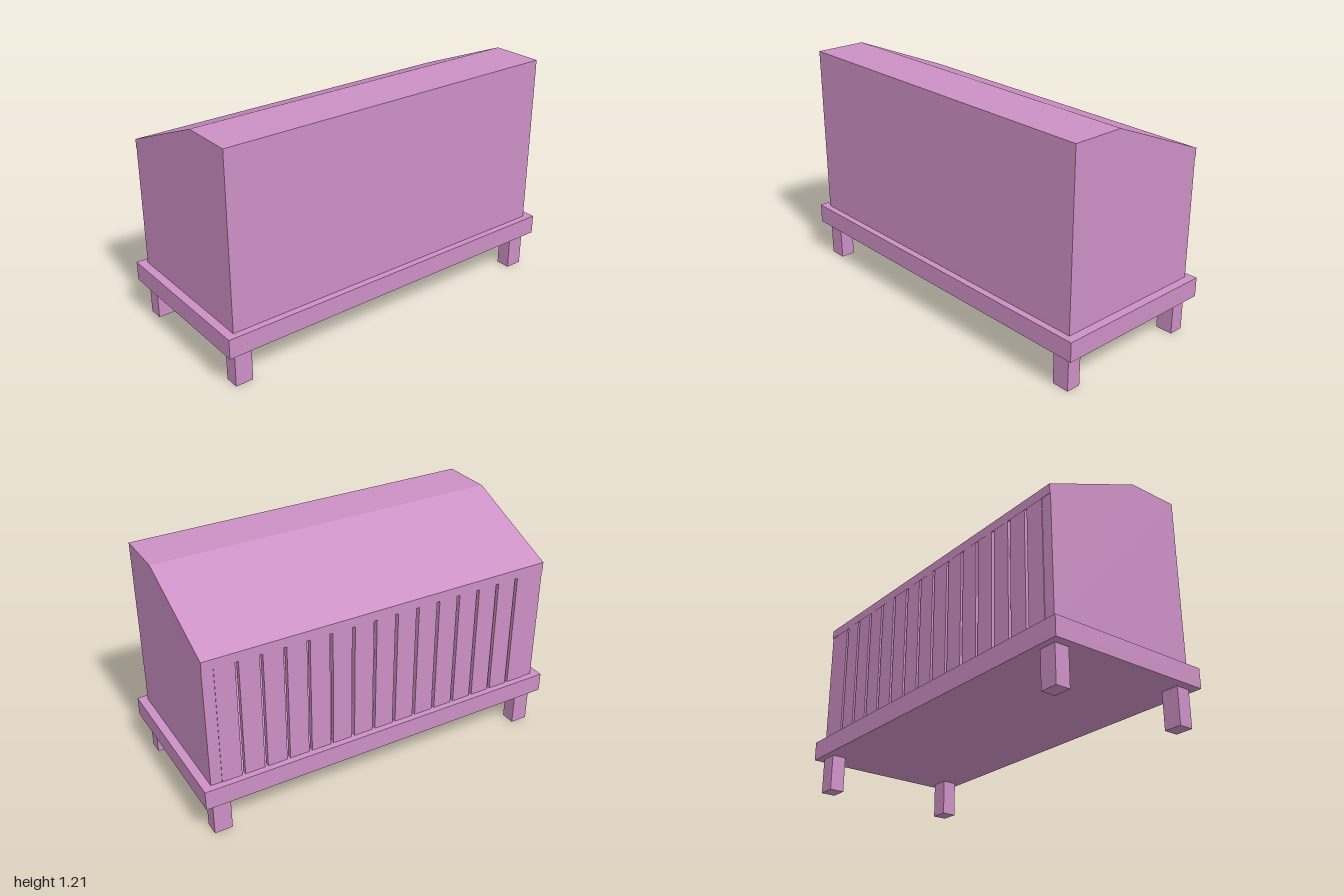
import * as THREE from 'three';

export function createModel() {
  const group = new THREE.Group();
  const material = new THREE.MeshStandardMaterial({ color: 0xcc8fc4, flatShading: true });

  const add = (name, geometry) => {
    const mesh = new THREE.Mesh(geometry, material);
    mesh.name = name;
    group.add(mesh);
  };
  // box from its lower and upper bounds
  const box = (name, x0, x1, y0, y1, z0, z1) =>
    add(name, new THREE.BoxGeometry(x1 - x0, y1 - y0, z1 - z0)
      .translate((x0 + x1) / 2, (y0 + y1) / 2, (z0 + z1) / 2));
  // side profile of [z, y] points, extruded from x0 to x1
  const profile = (name, points, x0, x1) => {
    const shape = new THREE.Shape(points.map(([z, y]) => new THREE.Vector2(-z, y)));
    add(name, new THREE.ExtrudeGeometry(shape, { depth: x1 - x0, bevelEnabled: false })
      .rotateY(Math.PI / 2).translate(x0, 0, 0));
  };

  const halfWidth = 0.955, wall = 0.06, front = 0.413, back = -0.416;
  const baseTop = 0.295, baseBottom = 0.192;

  // base slab and four square legs
  box('base', -1, 1, baseBottom, baseTop, -0.448, 0.448);
  for (const sx of [-1, 1]) for (const sz of [-1, 1]) {
    const x = sx * 0.908, z = sz * 0.374;
    box('leg', x - 0.047, x + 0.047, 0, baseBottom, z - 0.039, z + 0.039);
  }

  // front wall, flat top and sloping roof as one bent shell
  profile('frontAndRoof', [
    [front, baseTop], [front, 1.21], [0.135, 1.21], [back, 0.98],
    [back, 0.93], [0.125, 1.156], [front - 0.05, 1.156], [front - 0.05, baseTop],
  ], -halfWidth, halfWidth);

  // end walls closing the shell under the roof
  const endProfile = [[front - 0.01, baseTop], [front - 0.01, 1.18], [0.13, 1.18],
    [-0.412, 0.953], [-0.412, baseTop]];
  profile('rightEndWall', endProfile, -halfWidth, -halfWidth + wall);
  profile('leftEndWall', endProfile, halfWidth - wall, halfWidth);

  // row of upright slats across the back, with narrow gaps
  const pitch = 0.1207, slatWidth = 0.104;
  for (let i = -7; i <= 7; i++) {
    const x = i * pitch;
    box('backSlat', x - slatWidth / 2, x + slatWidth / 2, baseTop, 0.945, -0.4148, -0.39);
  }
  return group;
}
